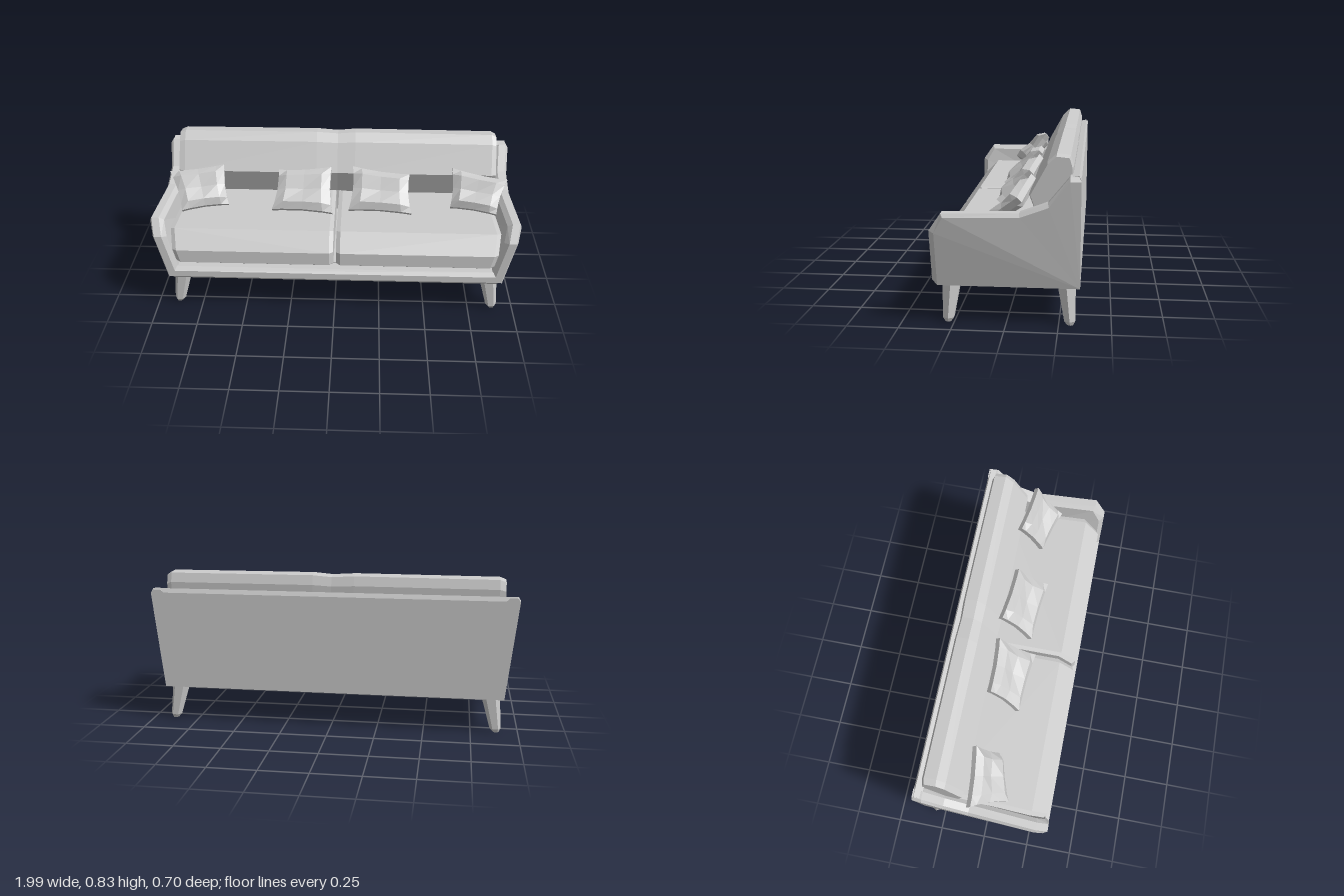
import * as THREE from 'three';

const material = new THREE.MeshStandardMaterial({ color: 0xcccccc, flatShading: true });

function mesh(name, geometry) {
  const m = new THREE.Mesh(geometry, material);
  m.name = name;
  return m;
}

// Joins rings of [x, y, z] points into a closed, outward-facing, faceted solid
function loft(rings) {
  const tris = [];
  const v = rings.map(r => r.map(p => new THREE.Vector3(...p)));
  const n = v[0].length;
  for (let i = 0; i + 1 < v.length; i++) {
    for (let j = 0; j < n; j++) {
      const k = (j + 1) % n, [a, b] = [v[i], v[i + 1]];
      tris.push([a[j], b[j], b[k]], [a[j], b[k], a[k]]);
    }
  }
  const cap = (ring, flip) => {
    const c = ring.reduce((s, p) => s.add(p), new THREE.Vector3()).divideScalar(n);
    ring.forEach((p, j) => {
      const q = ring[(j + 1) % n];
      tris.push(flip ? [c, q, p] : [c, p, q]);
    });
  };
  cap(v[0], false);
  cap(v[v.length - 1], true);
  let volume = 0;
  for (const [a, b, c] of tris) volume += a.dot(b.clone().cross(c));
  const points = [];
  for (const [a, b, c] of tris) {
    const area = b.clone().sub(a).cross(c.clone().sub(a)).length();
    if (area > 1e-7) points.push(...(volume > 0 ? [a, b, c] : [a, c, b]));
  }
  const g = new THREE.BufferGeometry().setFromPoints(points);
  g.computeVertexNormals();
  return g;
}

// Outer x of the flared side at a given height and depth
const flare = (z, y) => 0.92 + (y - 0.19) * (0.113 + 0.11 * (z + 0.35) / 0.65);

// Shrinks a [z, y] profile about a centre
const shrink = (profile, s, cz, cy) =>
  profile.map(([z, y]) => [cz + (z - cz) * s, cy + (y - cy) * s]);

// Arm: flared panel with a chamfered rim following the side outline
function armGeometry(side) {
  const rim = [[0.35, 0.215], [0.35, 0.47], [0.29, 0.557], [-0.07, 0.56],
    [-0.2, 0.608], [-0.3, 0.732], [-0.35, 0.732]];
  const edge = [[0.325, 0.19], [0.325, 0.46], [0.28, 0.537], [-0.07, 0.54],
    [-0.205, 0.59], [-0.3, 0.712], [-0.35, 0.712]];
  const at = ([z, y], inset) => [side * (flare(z, y) - inset), y, z];
  const corner = [-0.35, 0.19];
  return loft(rim.map((p, i) => [
    at(corner, 0), at(edge[i], 0), at(p, 0.015), at(p, 0.055), at(edge[i], 0.075), at(corner, 0.075),
  ]));
}

// Seat cushion: sloped front edge, outer end following the arm
function seatGeometry(side) {
  const full = [[0.3, 0.275], [0.335, 0.3], [0.335, 0.375], [0.25, 0.465], [-0.22, 0.465], [-0.22, 0.275]];
  const small = shrink(full, 0.94, 0.05, 0.36);
  const flat = (profile, x) => profile.map(([z, y]) => [side * x, y, z]);
  const flared = (profile, inset) => profile.map(([z, y]) => [side * (flare(z, y) - inset), y, z]);
  return loft([flat(small, 0.008), flat(full, 0.03), flared(full, 0.1), flared(small, 0.075)]);
}

// Back cushion: leaning profile, rounded ends and a slight dip in the middle
function backCushionGeometry() {
  const profile = [[-0.16, 0.48], [-0.105, 0.63], [-0.19, 0.785], [-0.235, 0.827],
    [-0.3, 0.82], [-0.315, 0.77], [-0.3, 0.48]];
  const stations = [[-0.907, 0.92], [-0.875, 0.985], [-0.12, 0.995], [0, 0.955], [0.1, 1], [0.875, 0.985], [0.9, 0.92]];
  return loft(stations.map(([x, s]) => shrink(profile, s, -0.22, 0.63).map(([z, y]) => [x, y, z])));
}

// Throw pillow stretched between four corners, pinched at the rim, dented in the centre
function pillowGeometry(corners) {
  const [tl, tr, br, bl] = corners.map(c => new THREE.Vector3(...c));
  const right = tr.clone().add(br).sub(tl).sub(bl);
  const up = tl.clone().add(tr).sub(bl).sub(br);
  const normal = right.cross(up).normalize();
  const g = new THREE.BoxGeometry(2, 2, 2, 4, 4, 1).toNonIndexed();
  const pos = g.attributes.position;
  const spread = t => (Math.abs(t) < 0.9 ? t * 1.35 : t);
  for (let i = 0; i < pos.count; i++) {
    const u = spread(pos.getX(i)), v = spread(pos.getY(i)), s = pos.getZ(i);
    const r = Math.max(Math.abs(u), Math.abs(v));
    const h = r > 0.9 ? 0.016 : r > 0.1 ? (v === 0 ? 0.034 : 0.042) : 0.024;
    const a = (1 + u * (1 - 0.08 * (1 - v * v))) / 2;
    const b = (1 + v * (1 - 0.08 * (1 - u * u))) / 2;
    const p = bl.clone().lerp(br, a).lerp(tl.clone().lerp(tr, a), b).addScaledVector(normal, s * h);
    pos.setXYZ(i, p.x, p.y, p.z);
  }
  g.computeVertexNormals();
  return g;
}

// Leg: six-sided taper with a chamfered foot, splayed from top to bottom
function legGeometry(side, zTop, zFoot) {
  const sections = [[0, 0.016], [0.02, 0.03], [0.2, 0.05]];
  return loft(sections.map(([y, r]) => {
    const t = y / 0.2, cx = 0.885 - 0.035 * t, cz = zFoot + (zTop - zFoot) * t;
    return Array.from({ length: 6 }, (_, i) => {
      const a = i * Math.PI / 3;
      return [side * (cx + r * Math.cos(a)), y, cz + r * Math.sin(a)];
    });
  }));
}

export function createModel() {
  const sofa = new THREE.Group();
  sofa.name = 'sofa';

  // Frame
  const span = (profile, xAt) => loft([-1, 1].map(s => profile.map(([z, y]) => [s * xAt(z, y), y, z])));
  sofa.add(mesh('backPanel', span(
    [[-0.35, 0.19], [-0.35, 0.715], [-0.34, 0.738], [-0.3, 0.73], [-0.3, 0.19]],
    (z, y) => flare(-0.35, y) - (y > 0.72 ? 0.015 : 0.002))));
  sofa.add(mesh('frontRail', span(
    [[0.325, 0.19], [0.35, 0.215], [0.35, 0.25], [0.33, 0.27], [0.25, 0.27], [0.25, 0.19]],
    (z, y) => flare(z, y) - 0.03)));
  sofa.add(mesh('base', span(
    [[0.27, 0.19], [0.27, 0.275], [-0.31, 0.275], [-0.31, 0.19]],
    (z, y) => flare(z, y) - 0.02)));

  // Mirrored parts
  for (const [side, label] of [[1, 'left'], [-1, 'right']]) {
    sofa.add(mesh(label + 'Arm', armGeometry(side)));
    sofa.add(mesh(label + 'SeatCushion', seatGeometry(side)));
    sofa.add(mesh(label + 'FrontLeg', legGeometry(side, 0.265, 0.28)));
    sofa.add(mesh(label + 'BackLeg', legGeometry(side, -0.285, -0.305)));
  }

  sofa.add(mesh('backCushion', backCushionGeometry()));

  // Throw pillows: top left, top right, bottom right, bottom left as seen from the front
  const pillows = {
    rightCornerPillow: [[-0.95, 0.64, -0.07], [-0.64, 0.675, -0.1], [-0.61, 0.49, 0.03], [-0.86, 0.49, 0.11]],
    rightMiddlePillow: [[-0.33, 0.65, -0.09], [-0.03, 0.67, -0.1], [-0.02, 0.485, 0.1], [-0.36, 0.485, 0.07]],
    leftMiddlePillow: [[0.09, 0.67, -0.11], [0.41, 0.64, -0.08], [0.42, 0.485, 0.09], [0.07, 0.485, 0.06]],
    leftCornerPillow: [[0.65, 0.67, -0.11], [0.96, 0.62, -0.07], [0.89, 0.49, 0.09], [0.64, 0.49, 0.02]],
  };
  for (const [name, corners] of Object.entries(pillows)) sofa.add(mesh(name, pillowGeometry(corners)));

  return sofa;
}
